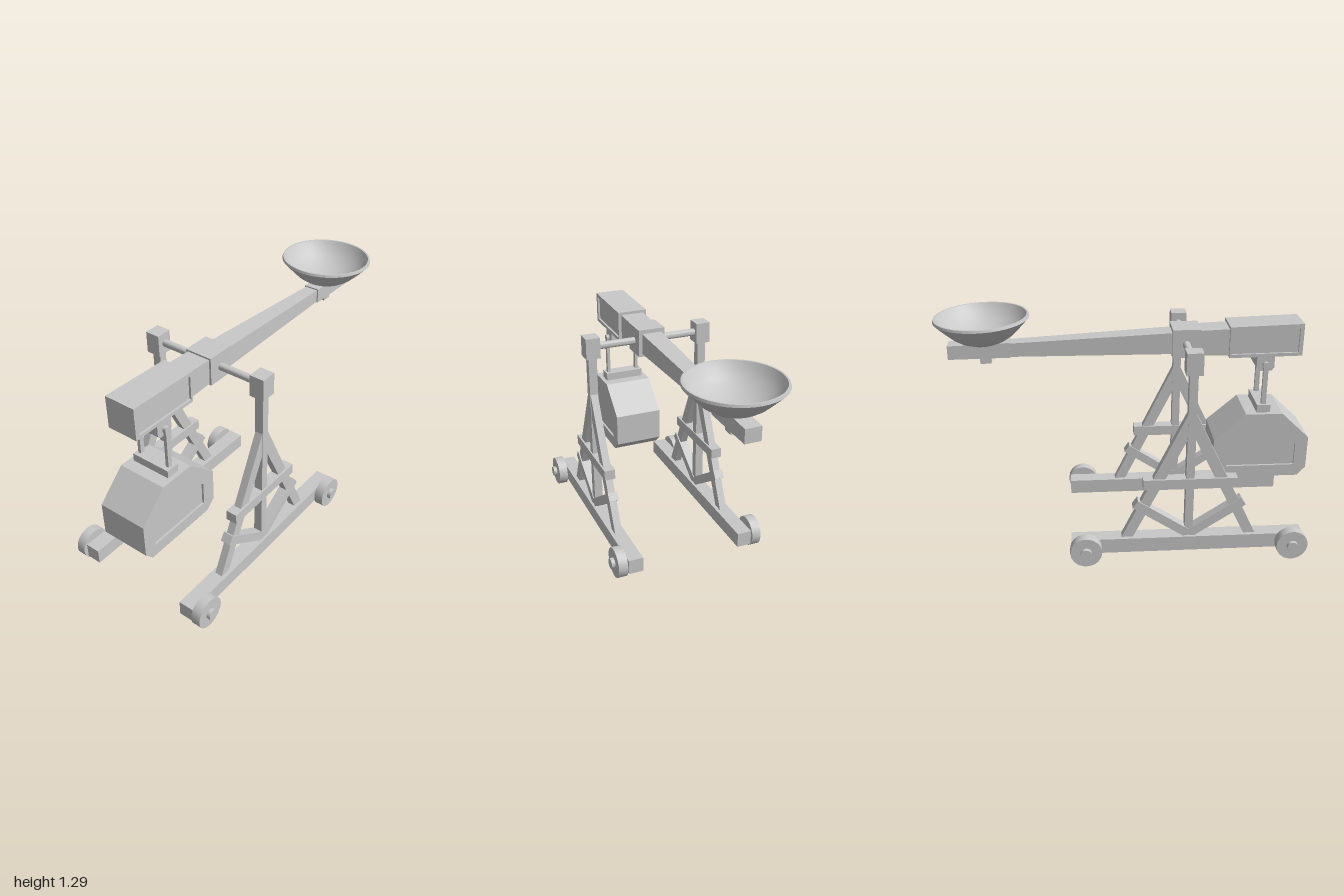
import * as THREE from 'three';
import { toCreasedNormals } from 'three/addons/utils/BufferGeometryUtils.js';

const PIVOT_Z = 0.32, POST_X = 0.33;

export function createModel() {
  const model = new THREE.Group();
  model.name = 'catapult';
  const grey = new THREE.MeshStandardMaterial({ color: 0xc8c8c8 });
  grey.name = 'plain grey';

  const add = (parent, name, geometry) => {
    const mesh = new THREE.Mesh(geometry, grey);
    mesh.name = name;
    parent.add(mesh);
    return mesh;
  };

  // Box given by its limits on each axis
  const box = (parent, name, [x0, x1], [y0, y1], [z0, z1]) => {
    const g = new THREE.BoxGeometry(x1 - x0, y1 - y0, z1 - z0);
    g.translate((x0 + x1) / 2, (y0 + y1) / 2, (z0 + z1) / 2);
    return add(parent, name, g);
  };

  // Bar in the side plane between two [z, y] points
  const bar = (parent, name, x, [z0, y0], [z1, y1], width, thick) => {
    const length = Math.hypot(z1 - z0, y1 - y0);
    const m = add(parent, name, new THREE.BoxGeometry(width, thick, length));
    m.position.set(x, (y0 + y1) / 2, (z0 + z1) / 2);
    m.rotation.x = -Math.atan2(y1 - y0, z1 - z0);
    return m;
  };

  // Cylinder lying along x
  const rod = (parent, name, r, x0, x1, y, z, sides) => {
    const g = new THREE.CylinderGeometry(r, r, x1 - x0, sides).rotateZ(Math.PI / 2);
    const m = add(parent, name, toCreasedNormals(g, 0.45));
    m.position.set((x0 + x1) / 2, y, z);
    return m;
  };

  // Four-sided beam between two end sections { z, w, y0, y1 }
  const taper = (parent, name, front, back) => {
    const g = new THREE.BoxGeometry(2, 1, 1);
    const p = g.attributes.position;
    for (let i = 0; i < p.count; i++) {
      const s = p.getZ(i) > 0 ? front : back;
      p.setXYZ(i, p.getX(i) * s.w, p.getY(i) > 0 ? s.y1 : s.y0, s.z);
    }
    return add(parent, name, g.toNonIndexed()).geometry.computeVertexNormals();
  };

  // Side profile of [z, y] points extruded along x
  const profile = (parent, name, points, x0, x1, hole) => {
    const vec = list => list.map(([z, y]) => new THREE.Vector2(z, y));
    const shape = new THREE.Shape(vec(points));
    if (hole) shape.holes.push(new THREE.Path(vec(hole)));
    const g = new THREE.ExtrudeGeometry(shape, { depth: x1 - x0, bevelEnabled: false });
    g.rotateY(-Math.PI / 2).translate(x1, 0, 0);
    return add(parent, name, g);
  };

  // Solid with a sunken panel on each side
  const panelled = (parent, name, outline, panel, half, depth) => {
    profile(parent, name + 'Core', outline, -half + depth, half - depth);
    profile(parent, name + 'FrameLeft', outline, half - depth, half, panel);
    profile(parent, name + 'FrameRight', outline, -half, -half + depth, panel);
  };

  // Side frames with base beams, A-frames and wheels
  for (const s of [1, -1]) {
    const frame = new THREE.Group();
    frame.name = s > 0 ? 'leftFrame' : 'rightFrame';
    model.add(frame);
    const span = (a, b) => (s > 0 ? [a, b] : [-b, -a]);
    const x = s * POST_X;
    box(frame, 'baseBeam', span(0.288, 0.372), [0.045, 0.13], [-0.317, 0.947]);
    box(frame, 'post', span(0.306, 0.354), [0.12, 1.08], [0.298, 0.342]);
    box(frame, 'postHead', span(0.289, 0.371), [1.07, 1.188], [0.278, 0.364]);
    box(frame, 'crossbar', span(0.3, 0.362), [0.422, 0.48], [0.07, 0.572]);
    for (const d of [1, -1]) {
      const at = (dz, y) => [PIVOT_Z + d * dz, y];
      // Sloping leg cut flush with the base beam and the post
      profile(frame, 'leg', d > 0
        ? [at(0, 0.86), at(0, 0.75), at(0.308, 0.12), at(0.37, 0.12), at(0.022, 0.85)]
        : [at(0, 0.86), at(0.022, 0.85), at(0.37, 0.12), at(0.308, 0.12), at(0, 0.75)],
      x - 0.021, x + 0.021);
      bar(frame, 'diagonalBrace', x, at(0.292, 0.333), at(0.0, 0.138), 0.056, 0.05);
      const wheelZ = PIVOT_Z + d * 0.56;
      rod(frame, 'wheel', 0.086, ...span(0.378, 0.431), 0.087, wheelZ, 18);
      rod(frame, 'wheelHub', 0.03, ...span(0.36, 0.452), 0.087, wheelZ, 14);
    }
  }

  // Axle and throwing arm
  rod(model, 'axle', 0.02, -0.3, 0.3, 1.13, 0.316, 16);
  const arm = new THREE.Group();
  arm.name = 'throwingArm';
  model.add(arm);
  box(arm, 'collar', [-0.077, 0.077], [1.056, 1.21], [0.243, 0.393]);
  taper(arm, 'armRear', { z: 0.56, w: 0.068, y0: 1.06, y1: 1.207 }, { z: 0.38, w: 0.066, y0: 1.064, y1: 1.2 });
  taper(arm, 'armBeam', { z: 0.25, w: 0.057, y0: 1.072, y1: 1.188 }, { z: -0.64, w: 0.037, y0: 1.07, y1: 1.142 });
  taper(arm, 'armTip', { z: -0.61, w: 0.045, y0: 1.068, y1: 1.15 }, { z: -0.935, w: 0.043, y0: 1.063, y1: 1.137 });
  box(arm, 'tipPeg', [-0.025, 0.025], [1.03, 1.08], [-0.77, -0.712]);
  panelled(arm, 'buttBlock',
    [[0.545, 1.052], [0.937, 1.057], [0.937, 1.233], [0.545, 1.222]],
    [[0.556, 1.07], [0.916, 1.075], [0.916, 1.21], [0.556, 1.202]], 0.086, 0.012);

  // Bowl, leaning slightly backward
  const bowlPoints = [
    [0, -0.005], [0.09, 0], [0.13, 0.018], [0.165, 0.042], [0.2, 0.076], [0.237, 0.114],
    [0.25, 0.128], [0.246, 0.141], [0.236, 0.141],
    [0.215, 0.106], [0.185, 0.074], [0.145, 0.046], [0.1, 0.026], [0.05, 0.015], [0, 0.012],
  ].map(([r, y]) => new THREE.Vector2(r, y));
  const bowl = add(arm, 'bowl', toCreasedNormals(new THREE.LatheGeometry(bowlPoints, 40), 0.5));
  bowl.position.set(0, 1.146, -0.747);
  bowl.rotation.x = -0.03;

  // Hanging counterweight
  const weight = new THREE.Group();
  weight.name = 'counterweight';
  model.add(weight);
  const Z = 0.745;
  profile(weight, 'hangerLug', [
    [Z - 0.048, 1.06], [Z - 0.048, 0.99], [Z - 0.034, 0.972],
    [Z + 0.034, 0.972], [Z + 0.048, 0.99], [Z + 0.048, 1.06],
  ], -0.079, 0.079);
  rod(weight, 'hangerPin', 0.012, -0.095, 0.095, 1.008, Z, 12);
  for (const s of [1, -1]) {
    const x = s * 0.09;
    box(weight, 'hangerRod', [x - 0.009, x + 0.009], [0.77, 1.01], [Z - 0.013, Z + 0.013]);
    rod(weight, 'hangerEye', 0.018, x - 0.009, x + 0.009, 1.008, Z, 14);
  }
  box(weight, 'hangerPlate', [-0.113, 0.113], [0.73, 0.787], [Z - 0.038, Z + 0.036]);
  panelled(weight, 'weightBox', [
    [0.845, 0.743], [0.645, 0.743], [0.476, 0.595], [0.476, 0.412],
    [0.53, 0.362], [0.955, 0.362], [1, 0.412], [1, 0.595],
  ], [
    [0.807, 0.668], [0.674, 0.668], [0.555, 0.56], [0.555, 0.43], [0.93, 0.43], [0.93, 0.562],
  ], 0.138, 0.012);

  return model;
}
